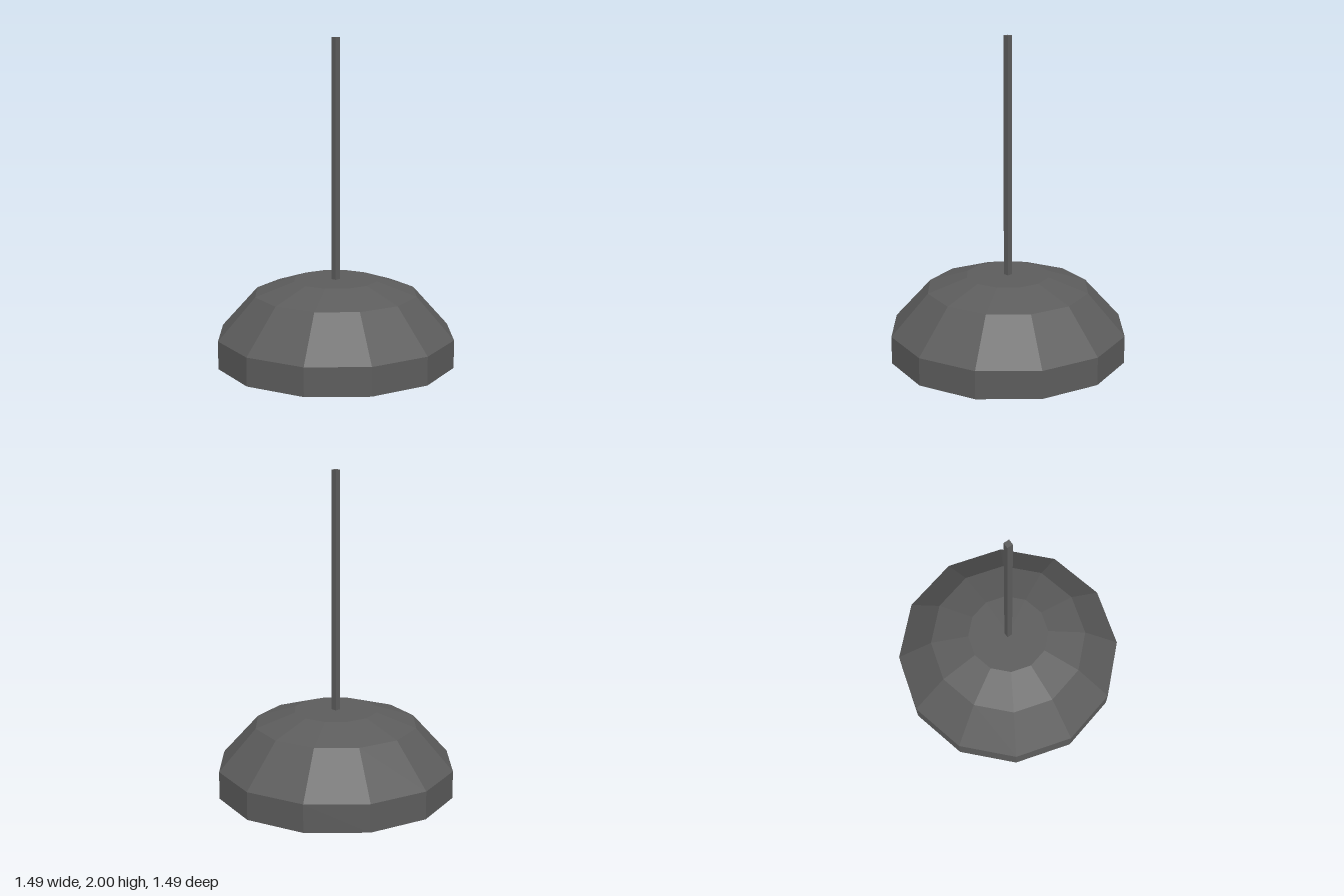
import * as THREE from 'three';

// Lathe from [radius, height] pairs
const lathe = (points, sides) =>
  new THREE.LatheGeometry(points.map(([r, y]) => new THREE.Vector2(r, y)), sides);

export function createModel() {
  const group = new THREE.Group();
  const add = (name, geometry, color, y = 0) => {
    const mesh = new THREE.Mesh(
      geometry,
      new THREE.MeshStandardMaterial({ color, flatShading: true })
    );
    mesh.name = name;
    mesh.position.y = y;
    group.add(mesh);
  };

  // Thick twelve-sided shade: inner ceiling, inner wall, bevelled lip, rim, slope, flat top
  const shade = [
    [0, 0.38], [0.42, 0.38], [0.55, 0.29], [0.61, 0.115],
    [0.743, 0], [0.743, 0.174], [0.51, 0.433], [0.262, 0.515], [0, 0.515],
  ];
  add('lampShade', lathe(shade, 12), 0x5c5c5c);

  // Square hanging rod
  add('hangingRod', new THREE.BoxGeometry(0.036, 1.487, 0.036), 0x5c5c5c, 1.2565);

  // Socket under the shade's ceiling
  add('bulbSocket', new THREE.CylinderGeometry(0.068, 0.068, 0.12, 12), 0x707070, 0.33);

  // Teardrop bulb
  const bulb = [[0, 0.035], [0.03, 0.04], [0.085, 0.11], [0.115, 0.18], [0.115, 0.24], [0.08, 0.29], [0, 0.29]];
  add('bulb', lathe(bulb, 12), 0xd0c450);

  return group;
}
